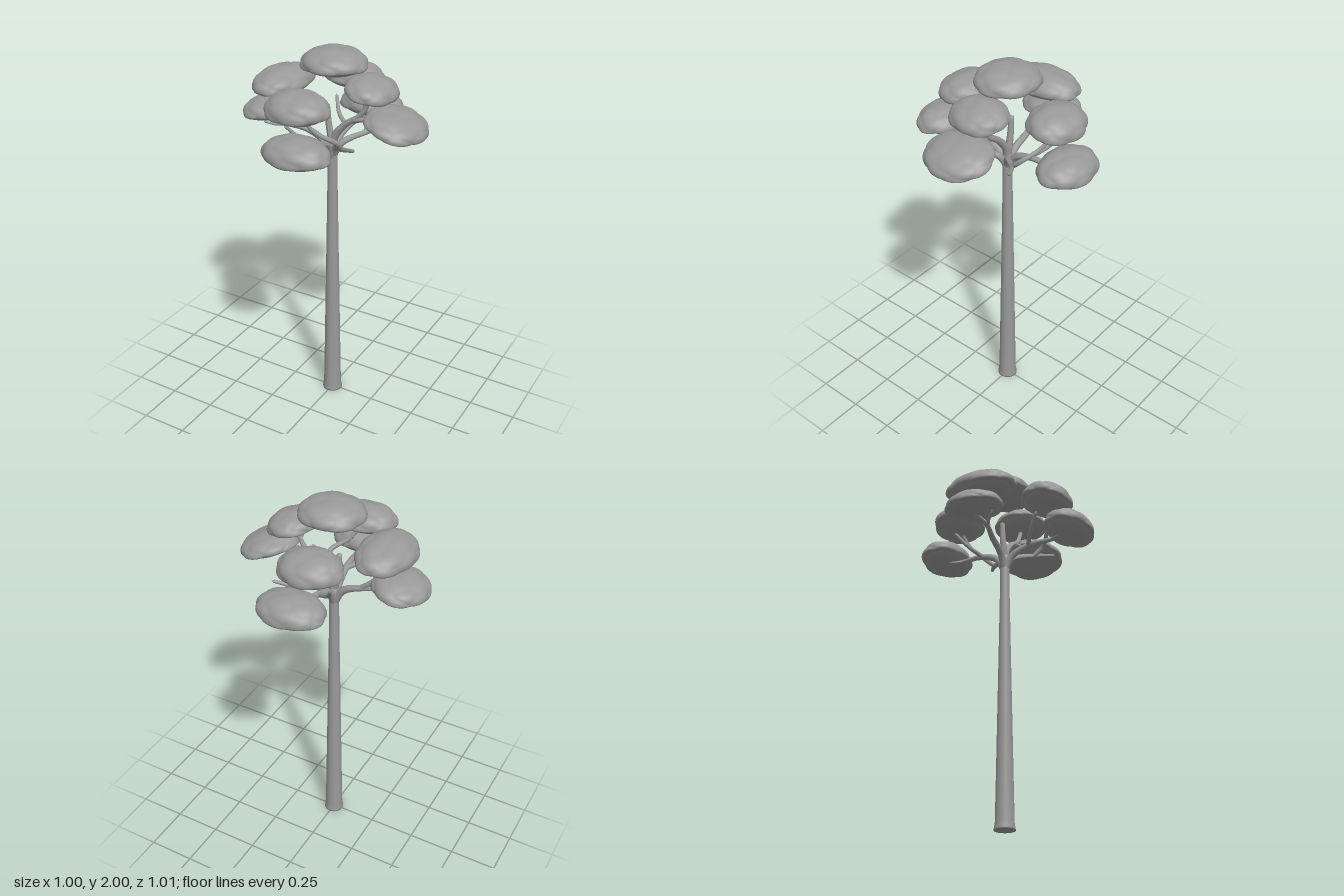
import * as THREE from 'three';
import { mergeVertices } from 'three/addons/utils/BufferGeometryUtils.js';

const grey = new THREE.MeshStandardMaterial({ color: 0x999999 });
grey.name = 'grey';

function addMesh(parent, geometry, name) {
  const mesh = new THREE.Mesh(geometry, grey);
  mesh.name = name;
  parent.add(mesh);
  return mesh;
}

// Tapered tube through a few points, closed by shrinking its last rings
function limb(points, r0, r1) {
  const curve = new THREE.CatmullRomCurve3(points.map(p => new THREE.Vector3(...p)));
  const rings = 24, sides = 10;
  const geo = new THREE.TubeGeometry(curve, rings, 1, sides);
  const pos = geo.attributes.position, v = new THREE.Vector3(), c = new THREE.Vector3();
  for (let i = 0; i < pos.count; i++) {
    const ring = Math.floor(i / (sides + 1)), t = ring / rings;
    curve.getPointAt(t, c);
    const r = ring === rings ? 0.0005 : THREE.MathUtils.lerp(r0, r1, t);
    v.fromBufferAttribute(pos, i).sub(c).multiplyScalar(r).add(c);
    pos.setXYZ(i, v.x, v.y, v.z);
  }
  geo.computeVertexNormals();
  return geo;
}

// Lumpy cushion: domed on top, shallow underneath, lobed around its rim
function cushion(rx, height, rz, seed) {
  let geo = new THREE.IcosahedronGeometry(1, 14);
  geo.deleteAttribute('uv');
  geo.deleteAttribute('normal');
  geo = mergeVertices(geo);
  const pos = geo.attributes.position, v = new THREE.Vector3(), d = new THREE.Vector3();
  // Centres of the rounded lobes, spread evenly over the upper half
  const lobes = [];
  for (let i = 0; i < 17; i++) {
    const y = 0.95 - i * 0.068, a = i * 2.4 + seed * 1.7, s = Math.sqrt(1 - y * y);
    lobes.push(new THREE.Vector3(Math.cos(a) * s, y, Math.sin(a) * s));
  }
  for (let i = 0; i < pos.count; i++) {
    d.fromBufferAttribute(pos, i).normalize();
    let near = -1;
    for (const l of lobes) near = Math.max(near, d.dot(l));
    const bump = d.y > -0.25 ? 0.88 + 0.12 * Math.max(0, 1 - (1 - near) * 5) : 0.88;
    v.copy(d).multiplyScalar(bump);
    // Broaden the rim so the sides are full
    const flat = Math.hypot(v.x, v.z), fuller = 1 + 0.12 * flat * (1 - flat);
    pos.setXYZ(i, v.x * fuller, v.y, v.z * fuller);
  }
  geo.computeBoundingBox();
  const b = geo.boundingBox;
  for (let i = 0; i < pos.count; i++) {
    const y = pos.getY(i);
    pos.setXYZ(i,
      ((pos.getX(i) - b.min.x) / (b.max.x - b.min.x) * 2 - 1) * rx,
      y > 0 ? y / b.max.y * height * 0.66 : -y / b.min.y * height * 0.34,
      ((pos.getZ(i) - b.min.z) / (b.max.z - b.min.z) * 2 - 1) * rz);
  }
  geo.computeVertexNormals();
  return geo;
}

export function createModel() {
  const model = new THREE.Group();
  model.name = 'tree';

  // Tall trunk with a flared foot
  const profile = [[0, 0], [0.054, 0], [0.053, 0.008], [0.048, 0.04], [0.045, 0.2], [0.038, 0.6],
    [0.031, 1], [0.026, 1.3], [0.025, 1.42], [0.028, 1.47], [0.024, 1.51], [0, 1.54]];
  addMesh(model, new THREE.LatheGeometry(profile.map(p => new THREE.Vector2(...p)), 24), 'trunk');

  // Branches: points, start radius, end radius
  const branches = new THREE.Group();
  branches.name = 'branches';
  model.add(branches);
  const single = [
    [[[0, 1.43, 0], [-0.05, 1.51, 0], [-0.15, 1.555, 0], [-0.25, 1.57, 0.02], [-0.37, 1.59, 0]], 0.022, 0.009],
    [[[-0.14, 1.55, 0], [-0.19, 1.59, 0], [-0.24, 1.635, 0.01], [-0.32, 1.67, 0], [-0.34, 1.77, 0]], 0.014, 0.008],
    [[[-0.25, 1.57, 0.02], [-0.3, 1.57, 0.06], [-0.34, 1.59, 0.1]], 0.009, 0.006],
    [[[0, 1.43, 0], [0.01, 1.54, 0], [0.07, 1.62, 0], [0.16, 1.69, 0], [0.22, 1.81, 0]], 0.024, 0.009],
    [[[0.1, 1.645, 0], [0.2, 1.675, 0.01], [0.27, 1.68, 0], [0.35, 1.68, 0]], 0.013, 0.008],
    [[[0, 1.5, 0], [-0.02, 1.6, 0], [-0.03, 1.715, 0]], 0.02, 0.013],
  ];
  // These repeat on the front and the back
  const paired = [
    [[[0, 1.43, 0], [0, 1.51, 0.05], [0.01, 1.555, 0.16], [0.02, 1.56, 0.27], [0.03, 1.59, 0.4]], 0.022, 0.009],
    [[[0.005, 1.55, 0.14], [-0.07, 1.59, 0.19], [-0.12, 1.665, 0.25]], 0.013, 0.008],
    [[[0.02, 1.56, 0.27], [-0.02, 1.55, 0.33], [-0.05, 1.57, 0.38]], 0.009, 0.006],
    [[[0, 1.44, 0], [0.04, 1.51, 0.03], [0.13, 1.55, 0.13], [0.235, 1.59, 0.2]], 0.02, 0.008],
    [[[0.12, 1.545, 0.12], [0.12, 1.6, 0.18], [0.04, 1.66, 0.24], [-0.02, 1.76, 0.28]], 0.014, 0.008],
  ];
  for (const [pts, r0, r1] of single) addMesh(branches, limb(pts, r0, r1), 'branch');
  for (const side of [1, -1]) {
    for (const [pts, r0, r1] of paired) {
      addMesh(branches, limb(pts.map(([x, y, z]) => [x, y, z * side]), r0, r1), 'branch');
    }
  }

  // Foliage: centre x, base y, centre z, half width, height, half depth, tilt about x, tilt about z
  const clumps = [
    ['topFoliage', 0.007, 1.872, -0.005, 0.168, 0.128, 0.16, 0, 0],
    ['leftUpperFoliage', 0.21, 1.775, -0.005, 0.13, 0.115, 0.152, 0, -0.2],
    ['leftLowerFoliage', 0.35, 1.63, 0, 0.155, 0.11, 0.18, 0, -0.27],
    ['rightUpperFoliage', -0.28, 1.73, 0, 0.138, 0.135, 0.2, 0, 0.08],
    ['rightLowerFoliage', -0.36, 1.58, 0, 0.14, 0.115, 0.155, 0, 0.12],
    ['frontUpperFoliage', -0.028, 1.715, 0.272, 0.163, 0.14, 0.137, 0.12, 0],
    ['frontLowerFoliage', 0.022, 1.54, 0.377, 0.178, 0.137, 0.13, 0.08, 0],
    ['backUpperFoliage', -0.028, 1.715, -0.272, 0.163, 0.14, 0.137, -0.12, 0],
    ['backLowerFoliage', 0.022, 1.54, -0.377, 0.178, 0.137, 0.13, -0.08, 0],
  ];
  clumps.forEach(([name, x, y, z, rx, h, rz, tiltX, tiltZ], i) => {
    const mesh = addMesh(model, cushion(rx, h, rz, i + 1), name);
    mesh.position.set(x, y + h * 0.34, z);
    mesh.rotation.set(tiltX, 0, tiltZ);
  });

  return model;
}
